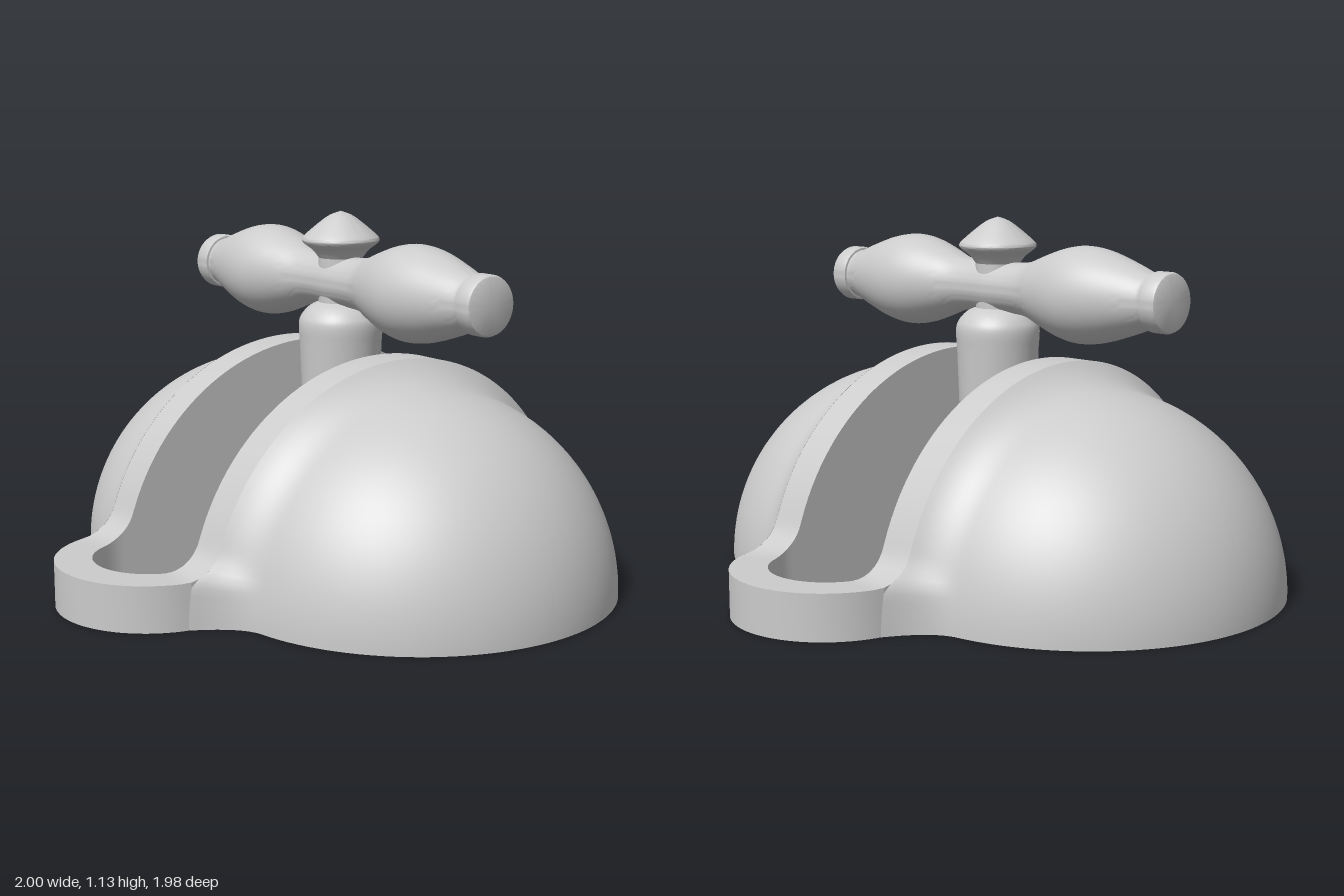
import * as THREE from 'three';
import { toCreasedNormals } from 'three/addons/utils/BufferGeometryUtils.js';

const solid = new THREE.MeshStandardMaterial({ color: 0xcccccc });
const shell = new THREE.MeshStandardMaterial({ color: 0xcccccc, side: THREE.DoubleSide });

const END = 0.7, OUTER = 0.3, INNER = 0.187; // stadium: end centres and radii
const ARCH = 0.7, RIM = 0.14, FILLET = 0.123, FOOT = 0.78;

// Height of the arched frame: round arch, concave fillet, flat ear
function frameHeight(x) {
  const a = Math.abs(x);
  if (a < 0.663) return Math.sqrt(ARCH * ARCH - a * a);
  if (a < FOOT) return RIM + FILLET - Math.sqrt(Math.max(0, FILLET ** 2 - (a - FOOT) ** 2));
  return RIM;
}

// Surface from a rule f(i, j) -> [x, y, z] on a grid of points
function surface(nu, nv, f, crease = 0.6) {
  const pos = [], index = [];
  for (let i = 0; i <= nu; i++) for (let j = 0; j <= nv; j++) pos.push(...f(i, j));
  for (let i = 0; i < nu; i++) for (let j = 0; j < nv; j++) {
    const a = i * (nv + 1) + j, b = a + nv + 1;
    index.push(a, b, a + 1, b, b + 1, a + 1);
  }
  const g = new THREE.BufferGeometry();
  g.setAttribute('position', new THREE.Float32BufferAttribute(pos, 3));
  g.setIndex(index);
  return toCreasedNormals(g, crease);
}

// Closed stadium outline: two half rounds joined by straight sides
function stadium(r) {
  const pts = [], N = 32, S = 64;
  for (const s of [1, -1]) {
    for (let i = 0; i < N; i++) {
      const a = -Math.PI / 2 + (Math.PI * i) / N;
      pts.push([s * (END + r * Math.cos(a)), s * r * Math.sin(a)]);
    }
    // steps bunch up near the ends, where the arch is steep
    for (let i = 0; i < S; i++) pts.push([s * END * Math.cos((Math.PI * i) / S), s * r]);
  }
  pts.push(pts[0]);
  return pts;
}

function lathe(profile, name) {
  const g = new THREE.LatheGeometry(profile.map(([r, y]) => new THREE.Vector2(r, y)), 64);
  const m = new THREE.Mesh(toCreasedNormals(g, 0.6), solid);
  m.name = name;
  return m;
}

// Smooth curve through a few [radius, height] points
function smooth(points, n) {
  return new THREE.SplineCurve(points.map(([r, y]) => new THREE.Vector2(r, y)))
    .getPoints(n).map((p) => [p.x, p.y]);
}

// Hollow half dome with a concave collar blending into the frame
function domeGeometry() {
  const NU = 96, collar = 10, ball = 28, R = 0.63, zc = 0.36;
  const phi0 = Math.asin(0.08 / R);
  return surface(NU, collar + ball, (i, j) => {
    const t = (Math.PI * i) / NU, c = Math.cos(t), s = Math.sin(t);
    // where this ray meets the frame's edge
    let edge = 0.6;
    while (edge < 0.77 && s * edge < frameHeight(c * edge)) edge += 0.0005;
    const out = Math.max(0, Math.abs(c * edge) - END);
    const z0 = Math.sqrt(OUTER * OUTER - out * out);
    let r, z;
    if (j <= collar) {
      const k = j / collar, r1 = R * Math.cos(phi0), z1 = zc + R * Math.sin(phi0);
      const rm = r1 + (edge - r1) * 0.12, zm = z0 + (z1 - z0) * 0.45;
      r = (1 - k) ** 2 * edge + 2 * k * (1 - k) * rm + k * k * r1;
      z = (1 - k) ** 2 * z0 + 2 * k * (1 - k) * zm + k * k * z1;
    } else {
      const p = phi0 + (Math.PI / 2 - phi0) * ((j - collar) / ball);
      r = Math.max(0.0005, R * Math.cos(p));
      z = zc + R * Math.sin(p);
    }
    return [r * c, r * s, z];
  });
}

export function createModel() {
  const model = new THREE.Group();
  const add = (geometry, material, name) => {
    const m = new THREE.Mesh(geometry, material);
    m.name = name;
    model.add(m);
    return m;
  };

  // Arched frame: top band and slot wall
  const outer = stadium(OUTER), inner = stadium(INNER), n = outer.length - 1;
  const top = ([x, z]) => [x, frameHeight(x), z];
  add(surface(n, 1, (i, j) => top(j ? outer[i] : inner[i])), shell, 'frameTop');
  add(surface(n, 1, (i, j) => (j ? top(inner[i]) : [inner[i][0], 0, inner[i][1]])), shell, 'slotWall');

  // Rounded outer walls of the two ears
  const sweep = Math.acos(0.06 / OUTER);
  const ear = surface(32, 1, (i, j) => {
    const a = sweep - (2 * sweep * i) / 32;
    const x = END + OUTER * Math.cos(a);
    return [x, j ? frameHeight(x) : 0, OUTER * Math.sin(a)];
  });
  // Domes in front and behind
  const dome = domeGeometry();
  for (const [side, turn] of [['left', 0], ['right', Math.PI]]) {
    add(ear, shell, side + 'EarWall').rotation.y = turn;
  }
  for (const [side, turn] of [['front', 0], ['back', Math.PI]]) {
    add(dome, shell, side + 'Dome').rotation.y = turn;
  }

  // Slot floor
  const outline = new THREE.Shape(inner.slice(0, -1).map(([x, z]) => new THREE.Vector2(x, -z)));
  add(new THREE.ShapeGeometry(outline).rotateX(-Math.PI / 2), shell, 'slotFloor');

  // Tapered stem rising from the slot
  model.add(lathe([[0.0, 0.002], [0.1, 0.002], [0.108, 0.14],
    ...smooth([[0.13, 0.72], [0.133, 0.77], [0.126, 0.8], [0.1, 0.83], [0.07, 0.845]], 16),
    [0.07, 0.9]], 'stem'));

  // Turned cross handle, mirrored about its middle
  const half = [...smooth([[0.083, 0], [0.08, 0.08], [0.087, 0.15], [0.112, 0.22], [0.138, 0.3],
    [0.148, 0.37], [0.138, 0.45], [0.108, 0.55], [0.083, 0.62], [0.08, 0.637]], 40),
    [0.087, 0.638], [0.09, 0.646], [0.09, 0.688], [0.086, 0.697], [0.08, 0.7], [0, 0.703]];
  const mirrored = half.slice(1).reverse().map(([r, y]) => [r, -y]);
  const handle = lathe([...mirrored, ...half], 'handle');
  handle.rotation.x = Math.PI / 2;
  handle.position.y = 0.91;
  model.add(handle);

  // Pointed knob on top
  model.add(lathe([[0.07, 0.92], ...smooth([[0.07, 0.985], [0.088, 1.008], [0.116, 1.03],
    [0.122, 1.042], [0.112, 1.056], [0.07, 1.092], [0.035, 1.117], [0, 1.13]], 28)], 'knob'));

  return model;
}
